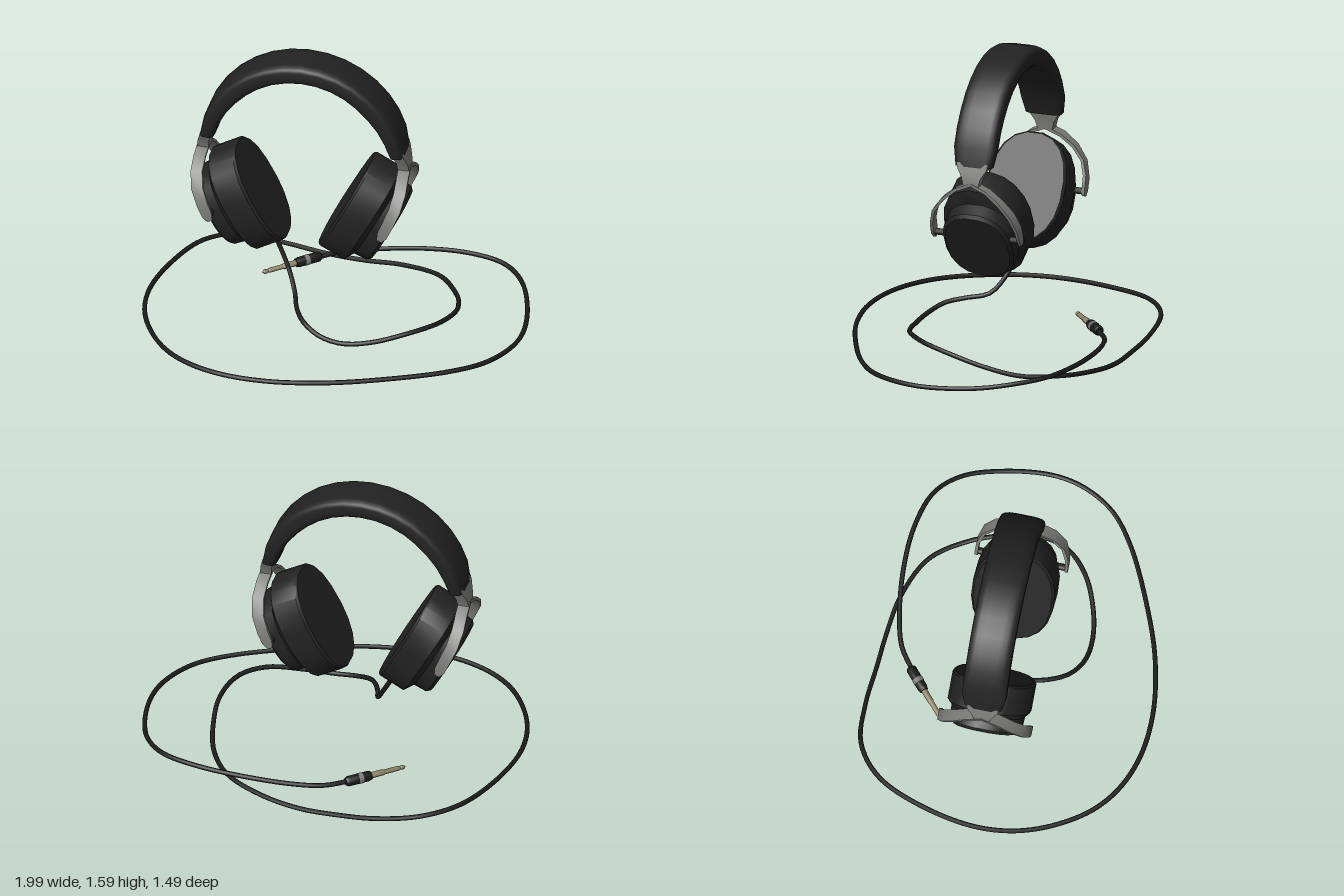
import * as THREE from 'three';
import { toCreasedNormals } from 'three/addons/utils/BufferGeometryUtils.js';

const V = (x, y, z) => new THREE.Vector3(x, y, z);

// Skin a row of equal-sized closed rings, cap both ends, and face it outward.
function loft(rings, crease = 0.7) {
  const n = rings[0].length, pos = [], tris = [];
  rings.forEach((r) => r.forEach((p) => pos.push(p.x, p.y, p.z)));
  for (let i = 0; i < rings.length - 1; i++) {
    for (let j = 0; j < n; j++) {
      const a = i * n + j, b = i * n + (j + 1) % n;
      tris.push([a, b, a + n], [b, b + n, a + n]);
    }
  }
  const last = (rings.length - 1) * n;
  for (let j = 1; j < n - 1; j++) tris.push([0, j + 1, j], [last, last + j, last + j + 1]);
  const at = (i) => V(pos[i * 3], pos[i * 3 + 1], pos[i * 3 + 2]);
  let volume = 0;
  tris.forEach(([a, b, c]) => { volume += at(a).dot(at(b).cross(at(c))); });
  const g = new THREE.BufferGeometry();
  g.setAttribute('position', new THREE.Float32BufferAttribute(pos, 3));
  g.setIndex(tris.flatMap(([a, b, c]) => (volume < 0 ? [a, c, b] : [a, b, c])));
  return toCreasedNormals(g, crease);
}

// Rounded ring around c, spanned by half-axes u and v; a higher power is boxier.
function ring(c, u, v, power = 2, n = 16) {
  const f = (t) => Math.sign(t) * Math.pow(Math.abs(t), 2 / power);
  return Array.from({ length: n }, (_, i) => {
    const a = ((i + 0.5) / n) * Math.PI * 2;
    return c.clone().addScaledVector(u, f(Math.cos(a))).addScaledVector(v, f(Math.sin(a)));
  });
}

const rect = (c, u, v) => [[1, 1], [-1, 1], [-1, -1], [1, -1]].map(([a, b]) =>
  c.clone().addScaledVector(u, a).addScaledVector(v, b));

export function createModel() {
  const model = new THREE.Group();
  model.name = 'headphones';
  const mat = (name, color) => {
    const m = new THREE.MeshStandardMaterial({ color });
    m.name = name;
    return m;
  };
  const black = mat('soft black', 0x222222);
  const cableBlack = mat('cable black', 0x1b1b1b);
  const grey = mat('metal grey', 0x7c7c7a);
  const gold = mat('plug gold', 0x8f8468);
  const add = (parent, name, geometry, material) => {
    const m = new THREE.Mesh(geometry, material);
    m.name = name;
    parent.add(m);
    return m;
  };

  const headset = new THREE.Group();
  headset.name = 'headset';
  headset.position.set(-0.17, 0, -0.06);
  model.add(headset);

  // Padded headband, thinning toward its ends
  const band = [], steps = 16;
  for (let i = 0; i <= steps; i++) {
    const a = 0.1 + (i / steps) * (Math.PI - 0.2), end = i === 0 || i === steps;
    const half = (0.07 + 0.042 * Math.min(1, Math.sin(a) * 1.5)) / 2;
    const dir = V(Math.cos(a), Math.sin(a), 0);
    const c = dir.clone().multiplyScalar(0.542 - half).add(V(0, 1.055, 0));
    band.push(ring(c, dir.multiplyScalar(half), V(0, 0, end ? 0.1 : 0.116), 4, 20));
  }
  add(headset, 'headband', loft(band, 0.8), black);

  for (const s of [1, -1]) {
    const side = new THREE.Group();
    side.name = s > 0 ? 'leftSide' : 'rightSide';
    headset.add(side);

    // Ear cup: tilted oval slices [depth, half height, half width]
    const out = V(0.88 * s, -0.48, 0), up = V(0.48 * s, 0.88, 0);
    const slices = (list, power) => loft(list.map(([d, h, w]) => ring(
      V(0.22 * s, 0.785, 0).addScaledVector(out, d),
      up.clone().multiplyScalar(h), V(0, 0, w), power, 20)));
    add(side, 'earCushion', slices([[0, 0.285, 0.205], [0.012, 0.293, 0.217],
      [0.155, 0.293, 0.217], [0.185, 0.23, 0.19]], 2.3), black);
    add(side, 'earHousing', slices([[0.17, 0.228, 0.192], [0.255, 0.222, 0.188],
      [0.272, 0.205, 0.172]], 2.4), black);

    // Neck narrowing from the headband to the fork: [x, y, half depth, half width]
    add(side, 'yokeNeck', loft([[0.505, 1.13, 0.028, 0.085], [0.512, 1.1, 0.029, 0.08],
      [0.525, 1.055, 0.03, 0.052], [0.53, 1.01, 0.03, 0.04]].map(([x, y, d, w]) =>
      rect(V(x * s, y, 0), V(d, 0, 0), V(0, 0, w)))), grey);

    // Fork ribbon arching over the cup: [x, y, z, tilt, half width]
    const half = [[0.53, 1.02, 0, 0, 0.031], [0.535, 0.985, 0.085, 0, 0.031],
      [0.536, 0.93, 0.155, 0.1, 0.031], [0.52, 0.86, 0.21, 0.25, 0.031],
      [0.488, 0.785, 0.234, 0.45, 0.03], [0.462, 0.725, 0.237, 0.5, 0.028],
      [0.447, 0.693, 0.236, 0.5, 0.014]];
    const path = [...half.slice(1).reverse().map(([x, y, z, a, w]) => [x, y, -z, a, w]), ...half];
    const fork = path.map(([x, y, z, a, w], i) => {
      const p = path[Math.max(0, i - 1)], q = path[Math.min(path.length - 1, i + 1)];
      const tangent = V((q[0] - p[0]) * s, q[1] - p[1], q[2] - p[2]);
      const wide = V(Math.cos(a) * s, -Math.sin(a), 0);
      const thick = tangent.cross(wide).normalize().multiplyScalar(0.008);
      return rect(V(x * s, y, z), wide.multiplyScalar(w), thick);
    });
    add(side, 'yokeFork', loft(fork), grey);

    // Pivot pins joining fork and housing
    for (const z of [-0.205, 0.205]) {
      const pin = add(side, 'pivotPin', new THREE.CylinderGeometry(0.018, 0.018, 0.06, 10), black);
      pin.rotation.x = Math.PI / 2;
      pin.position.set(0.455 * s, 0.715, z);
    }
  }

  // Coiled cable from the right cup to the plug
  const cable = [
    [-0.34, 0.53, -0.06], [-0.3, 0.45, -0.05], [-0.24, 0.335, -0.01], [-0.195, 0.25, 0.06],
    [-0.16, 0.225, 0.17], [-0.1, 0.205, 0.27], [0, 0.17, 0.33], [0.12, 0.152, 0.345],
    [0.27, 0.165, 0.32], [0.45, 0.198, 0.24], [0.57, 0.2, 0.12], [0.62, 0.17, -0.05],
    [0.605, 0.12, -0.22], [0.55, 0.075, -0.4], [0.42, 0.06, -0.58], [0.2, 0.035, -0.68],
    [0, 0.016, -0.71], [-0.2, 0.022, -0.722], [-0.42, 0.048, -0.735], [-0.65, 0.09, -0.71],
    [-0.82, 0.108, -0.58], [-0.94, 0.11, -0.3], [-0.985, 0.11, 0], [-0.94, 0.11, 0.25],
    [-0.8, 0.11, 0.5], [-0.65, 0.11, 0.63], [-0.45, 0.11, 0.71], [-0.2, 0.11, 0.73],
    [0.1, 0.11, 0.68], [0.4, 0.108, 0.57], [0.7, 0.106, 0.42], [0.86, 0.105, 0.29],
    [0.955, 0.104, 0.12], [0.985, 0.104, -0.05], [0.95, 0.115, -0.3], [0.87, 0.14, -0.5],
    [0.75, 0.153, -0.62], [0.55, 0.154, -0.68], [0.3, 0.142, -0.688], [0.05, 0.122, -0.655],
    [-0.1, 0.113, -0.61], [-0.22, 0.11, -0.525],
  ].map((p) => V(...p));
  add(model, 'cable', new THREE.TubeGeometry(new THREE.CatmullRomCurve3(cable), 220, 0.0125, 8), cableBlack);

  // Plug: sleeve, grip band and metal tip along one axis
  const plug = new THREE.Group();
  plug.name = 'plug';
  plug.position.set(-0.2, 0.112, -0.545);
  plug.quaternion.setFromUnitVectors(V(0, 1, 0), V(-0.255, 0, 0.225).normalize());
  model.add(plug);
  const lathe = (name, pts, material) => add(plug, name, toCreasedNormals(
    new THREE.LatheGeometry(pts.map(([r, y]) => new THREE.Vector2(r, y)), 12), 0.6), material);
  lathe('plugSleeve', [[0, 0], [0.02, 0], [0.027, 0.012], [0.027, 0.125], [0.022, 0.145], [0, 0.145]], cableBlack);
  lathe('plugBand', [[0.0265, 0.07], [0.0285, 0.07], [0.0285, 0.095], [0.0265, 0.095]], grey);
  lathe('plugTip', [[0, 0.14], [0.016, 0.14], [0.016, 0.215], [0.013, 0.22], [0.013, 0.3],
    [0.009, 0.308], [0.013, 0.318], [0.011, 0.33], [0, 0.342]], gold);

  return model;
}
